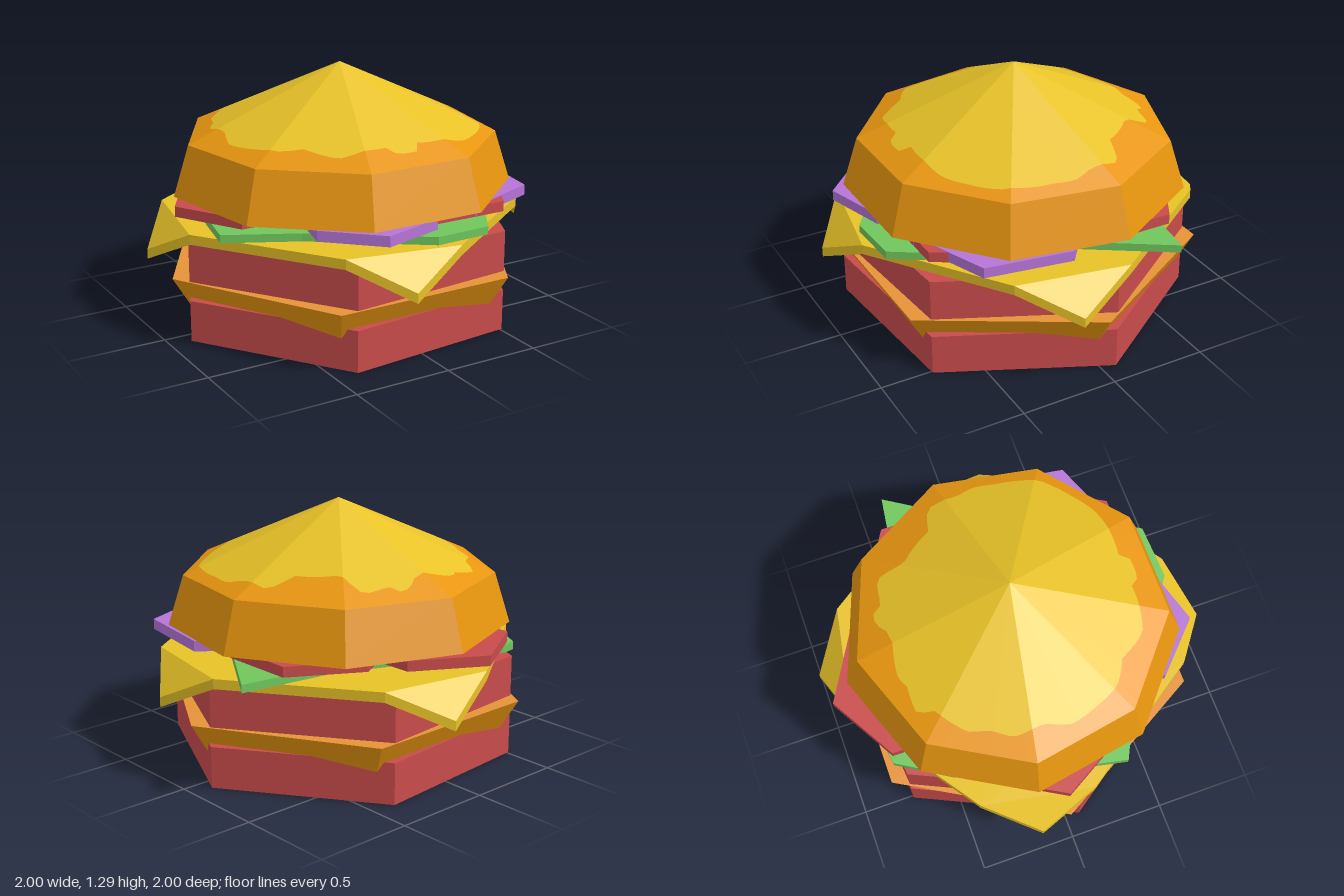
import * as THREE from 'three';

const mat = (name, color) => {
  const m = new THREE.MeshStandardMaterial({ color });
  m.name = name;
  return m;
};

// Separate every face so all edges stay sharp
const faceted = (geo) => {
  const g = geo.index ? geo.toNonIndexed() : geo;
  g.computeVertexNormals();
  return g;
};

// Upright slab from an [x, z] outline between two heights
function slab(points, y0, y1) {
  const shape = new THREE.Shape(points.map(([x, z]) => new THREE.Vector2(x, -z)));
  return new THREE.ExtrudeGeometry(shape, { depth: y1 - y0, bevelEnabled: false })
    .rotateX(-Math.PI / 2).translate(0, y0, 0);
}

// Tapered prism between two heights, turned about y
const prism = (rTop, rBottom, sides, y0, y1, turn) =>
  new THREE.CylinderGeometry(rTop, rBottom, y1 - y0, sides)
    .rotateY(turn).translate(0, (y0 + y1) / 2, 0);

// Hexagon outline; the first corner lies at (dx, dz) from the centre
function hexagon(cx, cz, dx, dz) {
  const r = Math.hypot(dx, dz), a0 = Math.atan2(dz, dx);
  return Array.from({ length: 6 }, (_, i) => {
    const a = a0 + i * Math.PI / 3;
    return [cx + r * Math.cos(a), cz + r * Math.sin(a)];
  });
}

export function createModel() {
  const group = new THREE.Group();
  const red = mat('red', 0xc84b4b);
  const orange = mat('bun orange', 0xee9a10);
  const amber = mat('amber', 0xe69238);
  const yellow = mat('yellow', 0xeac428);
  const green = mat('leaf green', 0x70c65c);
  const purple = mat('onion purple', 0xb574d6);

  const add = (name, geo, material, parent = group) => {
    const mesh = new THREE.Mesh(faceted(geo), material);
    mesh.name = name;
    parent.add(mesh);
    return mesh;
  };

  // Two hexagonal patties with a flared slice sunk into the lower one
  const turn = 0.61;
  add('lowerPatty', prism(0.893, 0.893, 6, 0, 0.21, turn), red);
  add('upperPatty', prism(0.893, 0.893, 6, 0.31, 0.52, turn), red);
  add('flaredSlice', prism(0.945, 0.825, 6, 0.11, 0.31, Math.PI / 6), [orange, amber, orange]);

  // Cheese: eight-sided sheet with four drooping corners
  const cheese = new THREE.Group();
  cheese.name = 'cheese';
  group.add(cheese);
  const quarter = ([x, z], n) => {
    for (let i = 0; i < n; i++) [x, z] = [z, -x];
    return [x, z];
  };
  const foldA = [-0.44, 0.8], foldB = [0.13, 0.905], tip = [-0.176, 0.998];
  const outline = [];
  for (let n = 0; n < 4; n++) {
    const corner = [foldA, foldB, tip].map((p) => quarter(p, n));
    outline.push(corner[0], corner[1]);
    const flap = slab(corner, 0.52, 0.57);
    const p = flap.attributes.position;
    for (let i = 0; i < p.count; i++) {
      const d = Math.hypot(p.getX(i) - corner[2][0], p.getZ(i) - corner[2][1]);
      if (d < 0.01) p.setY(i, p.getY(i) - 0.15);
    }
    add('cheeseCorner', flap, yellow, cheese);
  }
  add('cheeseSheet', slab(outline, 0.52, 0.57), yellow, cheese);

  // Ragged lettuce leaf
  add('lettuce', slab([
    [0.94, -0.39], [0.56, 0.2], [0.5, 0.56], [0.31, 0.86], [0.02, 0.87],
    [-0.5, 0.5], [-0.84, 0.33], [-0.78, 0.05], [-0.62, -0.52],
    [-0.46, -0.78], [-0.38, -0.79], [0.45, -0.46],
  ], 0.577, 0.617), green);

  // Tomato and onion slices
  const tomatoes = [
    [-0.53, -0.01, -0.385, 0], [-0.08, -0.57, 0, -0.4],
    [0.4, -0.25, 0, -0.4], [0.3, 0.38, 0.4, 0],
  ];
  tomatoes.forEach((t) => add('tomatoSlice', slab(hexagon(...t), 0.622, 0.674), red));
  const onions = [[0.405, 0.29, 0.345, 0.28], [-0.18, 0.56, -0.08, 0.33]];
  onions.forEach((o) => add('onionSlice', slab(hexagon(...o), 0.624, 0.677), purple));

  // Top bun: nine-sided rim
  const yRim = 0.93, yTop = 1.29, rRim = 0.79;
  add('bunRim', prism(rRim, 0.87, 9, 0.675, yRim, Math.PI), orange);

  // Top bun crown: golden patch with a ragged border on a nine-sided cone
  const border = [
    [0, -0.6], [0.1, -0.61], [0.12, -0.65], [0.2, -0.64], [0.22, -0.59], [0.36, -0.57],
    [0.37, -0.42], [0.5, -0.25], [0.64, -0.21], [0.65, -0.05], [0.68, 0.05], [0.66, 0.15],
    [0.6, 0.38], [0.47, 0.5], [0.35, 0.58], [0.07, 0.6], [0.05, 0.65], [-0.07, 0.65],
    [-0.1, 0.6], [-0.34, 0.57], [-0.44, 0.42], [-0.56, 0.35], [-0.62, 0.22], [-0.66, 0.08],
    [-0.62, -0.05], [-0.63, -0.2], [-0.56, -0.3], [-0.53, -0.4], [-0.38, -0.52],
    [-0.36, -0.6], [-0.2, -0.6], [-0.18, -0.63],
  ];
  const TAU = Math.PI * 2, step = TAU / 9;
  // Angle from the back, running towards +x
  const angle = (x, z) => (Math.atan2(x, -z) + TAU) % TAU;
  const rimAt = (a) => rRim * Math.cos(step / 2) / Math.cos((a % step) - step / 2);
  const polar = border.map(([x, z]) => ({ a: angle(x, z), r: Math.hypot(x, z) }))
    .sort((p, q) => p.a - q.a);
  polar.push({ a: TAU, r: polar[0].r });
  const radiusAt = (a) => {
    const i = Math.max(1, polar.findIndex((p) => p.a >= a - 1e-9));
    const p = polar[i - 1], q = polar[i];
    return p.r + (q.r - p.r) * (a - p.a) / (q.a - p.a);
  };
  const onCone = (a, r) =>
    [r * Math.sin(a), yTop - (yTop - yRim) * r / rimAt(a), -r * Math.cos(a)];
  const patch = [], edge = [];
  const count = 108;
  for (let i = 0; i < count; i++) {
    const a = i * TAU / count, b = (i + 1) * TAU / count;
    const a1 = onCone(a, radiusAt(a)), b1 = onCone(b, radiusAt(b));
    const a2 = onCone(a, rimAt(a)), b2 = onCone(b, rimAt(b));
    patch.push(0, yTop, 0, ...b1, ...a1);
    edge.push(...a1, ...b1, ...b2, ...a1, ...b2, ...a2);
  }
  const fromPositions = (list) => new THREE.BufferGeometry()
    .setAttribute('position', new THREE.Float32BufferAttribute(list, 3));
  add('bunCrownPatch', fromPositions(patch), yellow);
  add('bunCrownEdge', fromPositions(edge), orange);

  return group;
}
